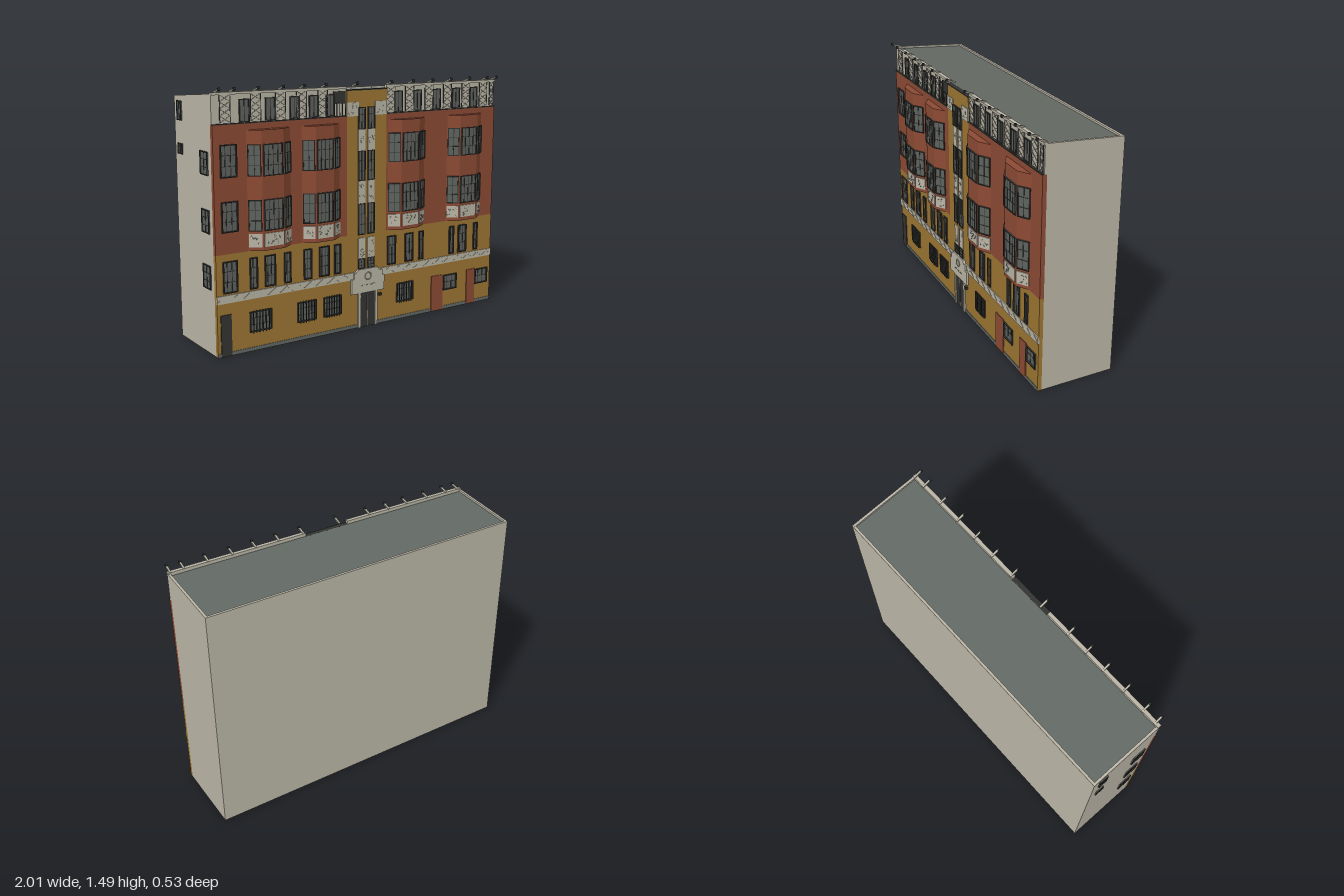
import * as THREE from 'three';

const mat = (name, color, side = THREE.FrontSide) => {
  const m = new THREE.MeshStandardMaterial({ color, side });
  m.name = name;
  return m;
};
const M = {
  ochre: mat('ochre plaster', 0x9c7532),
  red: mat('red brick', 0x8c4a34),
  cream: mat('cream stone', 0xb9b4a5),
  glass: mat('window glass', 0x5d625d),
  roof: mat('roof felt', 0x626863),
  dark: mat('dark metal', 0x333331),
  grey: mat('grey relief', 0x77746a),
};
const FRONT = 0.21, INNER = 0.185, ATTIC = 0.2;

function box(parent, name, m, w, h, d, x, y, z) {
  const b = new THREE.Mesh(new THREE.BoxGeometry(w, h, d), m);
  b.name = name;
  b.position.set(x, y, z);
  parent.add(b);
  return b;
}
// box given by its limits
const span = (p, name, m, x0, x1, y0, y1, z0, z1) =>
  box(p, name, m, x1 - x0, y1 - y0, z1 - z0, (x0 + x1) / 2, (y0 + y1) / 2, (z0 + z1) / 2);

// thin straight bar between two points in the xy plane
function stroke(parent, name, m, x0, y0, x1, y1, z, t = 0.004, d = 0.004) {
  const b = box(parent, name, m, Math.hypot(x1 - x0, y1 - y0), t, d, (x0 + x1) / 2, (y0 + y1) / 2, z);
  b.rotation.z = Math.atan2(y1 - y0, x1 - x0);
}

function place(parent, name, x, y, z, ry = 0) {
  const g = new THREE.Group();
  g.name = name;
  g.position.set(x, y, z);
  g.rotation.y = ry;
  parent.add(g);
  return g;
}

// window in local space, wall surface at z = 0
function windowUnit(parent, x, y, z, w, h, cols, rows, ry = 0, recess = 0, bars = 0) {
  const g = place(parent, 'window', x, y, z, ry);
  box(g, 'glass', M.glass, w, h, 0.004, 0, 0, 0.002 - recess);
  const t = 0.006;
  for (const s of [-1, 1]) {
    box(g, 'frameSide', M.dark, t, h, 0.01, s * (w - t) / 2, 0, 0.003);
    box(g, 'frameRail', M.dark, w, t, 0.01, 0, s * (h - t) / 2, 0.003);
  }
  for (let i = 1; i < cols; i++) box(g, 'mullion', M.dark, 0.004, h, 0.004, -w / 2 + w * i / cols, 0, 0.004 - recess);
  for (let i = 1; i < rows; i++) box(g, 'glazingBar', M.dark, w, 0.003, 0.004, 0, -h / 2 + h * i / rows, 0.004 - recess);
  for (let i = 1; i <= bars; i++) box(g, 'securityBar', M.dark, 0.005, h + 0.01, 0.004, -w / 2 + w * i / (bars + 1), 0, 0.008);
}

// wall slab with rectangular openings [x0, x1, y0, y1]
function wall(parent, name, m, x0, x1, y0, y1, holes) {
  const rect = (C, a, b, c, d) => {
    const s = new C();
    s.moveTo(a, c); s.lineTo(b, c); s.lineTo(b, d); s.lineTo(a, d); s.closePath();
    return s;
  };
  const s = rect(THREE.Shape, x0, x1, y0, y1);
  for (const h of holes) s.holes.push(rect(THREE.Path, ...h));
  const mesh = new THREE.Mesh(new THREE.ExtrudeGeometry(s, { depth: FRONT - INNER, bevelEnabled: false }), m);
  mesh.name = name;
  mesh.position.z = INNER;
  parent.add(mesh);
}

let seed = 7;
const rnd = () => (seed = (seed * 16807) % 2147483647) / 2147483647;

// cream panel with a scrolling relief
function reliefPanel(parent, x, y, z, w, h, m = M.grey, ry = 0) {
  const g = place(parent, 'reliefPanel', x, y, z, ry);
  box(g, 'panel', M.cream, w, h, 0.006, 0, 0, 0.002);
  const n = Math.max(4, Math.round(w * h * 1100));
  for (let i = 0; i < n; i++) {
    const px = (rnd() - 0.5) * w * 0.7, py = (rnd() - 0.5) * h * 0.7, a = rnd() * Math.PI, r = 0.008;
    stroke(g, 'relief', m, px - r * Math.cos(a), py - r * Math.sin(a), px + r * Math.cos(a), py + r * Math.sin(a), 0.005, 0.003);
  }
}

// attic pier with crossed lattice
function lattice(parent, x, w) {
  const y0 = 1.295, y1 = 1.445, z = ATTIC + 0.004;
  span(parent, 'latticePanel', M.cream, x - w / 2, x + w / 2, y0, y1, ATTIC - 0.002, ATTIC + 0.004);
  for (const s of [-1, 1]) stroke(parent, 'latticeEdge', M.dark, x + s * w / 2, y0, x + s * w / 2, y1, z, 0.004);
  for (let i = 0; i < 4; i++) {
    const a = y0 + (y1 - y0) * i / 4, b = y0 + (y1 - y0) * (i + 1) / 4;
    stroke(parent, 'latticeBrace', M.grey, x - w / 2, a, x + w / 2, b, z);
    stroke(parent, 'latticeBrace', M.grey, x - w / 2, b, x + w / 2, a, z);
  }
}

// three-sided bay, e = the four corner x positions
function bay(parent, e) {
  const g = place(parent, 'bay', 0, 0, 0), zf = 0.255;
  const s = new THREE.Shape();
  s.moveTo(e[0], -FRONT); s.lineTo(e[1], -zf); s.lineTo(e[2], -zf); s.lineTo(e[3], -FRONT); s.closePath();
  const geo = new THREE.ExtrudeGeometry(s, { depth: 0.67, bevelEnabled: false });
  geo.rotateX(-Math.PI / 2);
  const body = new THREE.Mesh(geo, M.red);
  body.name = 'bayBody';
  body.position.y = 0.58;
  g.add(body);
  const zs = [FRONT, zf, zf, FRONT];
  for (let i = 0; i < 3; i++) {
    const dx = e[i + 1] - e[i], dz = zs[i + 1] - zs[i], len = Math.hypot(dx, dz), ry = -Math.atan2(dz, dx);
    const cx = (e[i] + e[i + 1]) / 2, cz = (zs[i] + zs[i + 1]) / 2, w = len * 0.89;
    for (const y of [1.085, 0.78]) windowUnit(g, cx, y, cz, w, 0.175, i === 1 ? 4 : 2, 3, ry);
    reliefPanel(g, cx, 0.64, cz, w, 0.075, M.grey, ry);
  }
}

export function createModel() {
  const root = new THREE.Group();
  root.name = 'building';

  // hollow shell: side walls with sloping tops, back wall, roof
  const shell = place(root, 'shell', 0, 0, 0);
  const side = new THREE.Shape();
  side.moveTo(-INNER, 0); side.lineTo(0.265, 0); side.lineTo(0.265, 1.415); side.lineTo(-INNER, 1.45); side.closePath();
  const sideGeo = new THREE.ExtrudeGeometry(side, { depth: 0.015, bevelEnabled: false });
  sideGeo.rotateY(Math.PI / 2);
  for (const x of [-1, 0.985]) {
    const m = new THREE.Mesh(sideGeo, M.cream);
    m.name = 'sideWall';
    m.position.x = x;
    shell.add(m);
  }
  span(shell, 'backWall', M.cream, -0.985, 0.985, 0, 1.415, -0.265, -0.25);
  box(shell, 'roof', M.roof, 1.97, 0.006, 0.437, 0, 1.418, -0.032).rotation.x = -0.078;

  // lower storeys: [x0, x1, y0, y1, columns, rows, security bars]
  const f = place(root, 'facade', 0, 0, 0);
  const low = [[-0.8, -0.66, 0.11, 0.23, 1, 3, 6], [-0.49, -0.36, 0.11, 0.23, 1, 3, 6], [-0.31, -0.185, 0.11, 0.23, 1, 3, 6],
    [0.225, 0.355, 0.11, 0.23, 1, 3, 6], [0.6, 0.71, 0.125, 0.225, 3, 2, 0], [0.868, 0.975, 0.125, 0.225, 3, 2, 0]];
  const mid = [[-0.96, -0.87], [-0.795, -0.745], [-0.7, -0.63], [-0.575, -0.53], [-0.445, -0.39], [-0.34, -0.27], [-0.235, -0.19],
    [0.15, 0.215], [0.285, 0.35], [0.395, 0.43], [0.64, 0.68], [0.715, 0.785], [0.845, 0.88]]
    .map(([a, b]) => [a, b, 0.36, 0.54, b - a > 0.06 ? 3 : 2, 3, 0]);
  const upper = [[-0.96, -0.86, 1.0, 1.18, 3, 3, 0], [-0.96, -0.86, 0.7, 0.87, 3, 3, 0]];
  const rects = (list) => list.map((h) => h.slice(0, 4));
  wall(f, 'lowerWall', M.ochre, -1, 1, 0, 0.58, rects([...low, ...mid]));
  wall(f, 'upperWallRight', M.red, -1, -0.145, 0.58, 1.287, rects(upper));
  wall(f, 'upperWallLeft', M.red, 0.14, 1, 0.58, 1.287, []);
  wall(f, 'stairTower', M.ochre, -0.145, 0.14, 0.58, 1.435, []);
  for (const [a, b, c, d, cols, rows, bars] of [...low, ...mid, ...upper]) {
    windowUnit(f, (a + b) / 2, (c + d) / 2, FRONT, b - a, d - c, cols, rows, 0, 0.01, bars);
    span(f, 'windowBacking', M.dark, a, b, c, d, INNER - 0.003, INNER + 0.002);
  }

  // bays
  for (const e of [[-0.8, -0.73, -0.595, -0.525], [-0.45, -0.385, -0.265, -0.195], [0.15, 0.22, 0.355, 0.43], [0.61, 0.68, 0.82, 0.89]]) bay(root, e);

  // plinth and string course
  span(f, 'plinth', M.roof, -1, 1, 0, 0.022, FRONT - 0.005, FRONT + 0.003);
  span(f, 'stringCourse', M.cream, -1, 1, 0.305, 0.35, FRONT - 0.005, FRONT + 0.006);
  for (let i = 0; i < 50; i++) {
    const x = -1 + i * 0.04, up = i % 2;
    stroke(f, 'courseRelief', M.cream, x, up ? 0.342 : 0.313, x + 0.04, up ? 0.313 : 0.342, FRONT + 0.006, 0.005);
  }

  // doors, seen from inside as well
  for (const [a, b, h, m] of [[-0.98, -0.915, 0.24, M.dark], [0.5, 0.595, 0.232, M.red], [0.795, 0.865, 0.232, M.red], [-0.052, 0.056, 0.215, M.dark]]) {
    span(f, 'door', m, a, b, 0.002, h, FRONT - 0.002, FRONT + 0.005);
    span(f, 'doorBack', M.dark, a, b, 0.002, h, INNER - 0.003, INNER + 0.002);
  }

  // portal
  const portal = place(root, 'portal', 0, 0, 0);
  const s = new THREE.Shape();
  [[-0.12, 0.217], [0.12, 0.217], [0.12, 0.31], [0.105, 0.31], [0.105, 0.345], [0.085, 0.345], [0.07, 0.365], [-0.07, 0.365],
    [-0.09, 0.345], [-0.1, 0.345], [-0.1, 0.31], [-0.12, 0.31]].forEach(([x, y], i) => (i ? s.lineTo(x, y) : s.moveTo(x, y)));
  const head = new THREE.Mesh(new THREE.ExtrudeGeometry(s, { depth: 0.018, bevelEnabled: false }), M.cream);
  head.name = 'portalHead';
  head.position.z = FRONT - 0.002;
  portal.add(head);
  for (const x of [-0.06, 0.064]) box(portal, 'doorJamb', M.cream, 0.016, 0.217, 0.016, x, 0.1085, FRONT + 0.004);
  box(portal, 'doorMullion', M.grey, 0.004, 0.2, 0.004, 0.002, 0.1, FRONT + 0.005);
  for (let i = 0; i < 6; i++) stroke(portal, 'portalRelief', M.grey, -0.05 + i * 0.018, 0.262 + (i % 2) * 0.006, -0.04 + i * 0.018, 0.266, FRONT + 0.017, 0.004);
  const ring = new THREE.Mesh(new THREE.TorusGeometry(0.022, 0.004, 6, 16), M.cream);
  ring.name = 'portalRing';
  ring.position.set(0, 0.318, FRONT + 0.016);
  portal.add(ring);
  box(portal, 'lamp', M.dark, 0.022, 0.016, 0.016, 0.095, 0.187, FRONT + 0.007);

  // stair tower glazing with alternating relief panels
  for (const [a, b] of [[-0.066, -0.016], [0.002, 0.052]]) {
    const x = (a + b) / 2, w = b - a;
    for (const [c, d] of [[1.205, 1.335], [0.9, 1.08], [0.575, 0.765], [0.365, 0.43]]) windowUnit(f, x, (c + d) / 2, FRONT, w, d - c, 2, 3);
    for (const [c, d] of [[1.08, 1.205], [0.765, 0.9], [0.43, 0.555]]) reliefPanel(f, x, (c + d) / 2, FRONT, w, d - c, M.cream);
  }
  for (const x of [-0.106, 0.097]) reliefPanel(f, x, 1.325, FRONT, 0.085, 0.08, M.cream);
  span(f, 'towerCoping', M.dark, -0.145, 0.14, 1.432, 1.438, INNER - 0.002, FRONT + 0.003);

  // attic storey with lattice piers, windows and roof brackets
  const attic = place(root, 'attic', 0, 0, 0);
  for (const [a, b] of [[-1, -0.145], [0.14, 1]]) {
    span(attic, 'atticWall', M.cream, a, b, 1.287, 1.45, INNER, ATTIC);
    span(attic, 'atticCornice', M.cream, a, b, 1.444, 1.458, INNER, ATTIC + 0.008);
    span(attic, 'atticSill', M.dark, a, b, 1.285, 1.291, ATTIC - 0.005, FRONT + 0.003);
  }
  for (const x of [-0.92, -0.735, -0.58, -0.445, -0.305, 0.175, 0.315, 0.465, 0.61, 0.76, 0.905]) lattice(attic, x, 0.062);
  lattice(attic, 0.975, 0.03);
  for (const x of [-0.805, -0.645, -0.49, -0.365, -0.255, 0.232, 0.375, 0.525, 0.68, 0.825])
    windowUnit(attic, x, 1.355, ATTIC, 0.062, 0.125, 2, 1);
  for (const x of [-0.97, -0.88, -0.735, -0.58, -0.445, -0.305, -0.09, 0.155, 0.315, 0.465, 0.61, 0.76, 0.905, 0.985]) {
    box(attic, 'roofBracket', M.cream, 0.011, 0.008, 0.06, x, 1.466, 0.212).rotation.x = -0.3;
    box(attic, 'bracketEnd', M.dark, 0.013, 0.016, 0.012, x, 1.476, 0.238).rotation.x = -0.3;
  }

  // small roof terrace with railing
  span(attic, 'terraceOpening', M.dark, -0.232, -0.15, 1.365, 1.432, ATTIC - 0.002, ATTIC + 0.006);
  for (let i = 0; i < 5; i++) box(attic, 'railingPost', M.dark, 0.004, 0.075, 0.004, -0.23 + i * 0.019, 1.328, ATTIC + 0.007);
  box(attic, 'railingTop', M.dark, 0.082, 0.005, 0.005, -0.191, 1.365, ATTIC + 0.007);

  // windows on the right end wall: [z, y0, y1, width]
  for (const [z, c, d, w] of [[-0.195, 1.28, 1.39, 0.057], [-0.195, 1.09, 1.15, 0.057], [0.105, 1.01, 1.14, 0.09], [0.105, 0.69, 0.82, 0.09], [0.105, 0.375, 0.51, 0.09]])
    windowUnit(root, -1, (c + d) / 2, z, w, d - c, 2, 3, -Math.PI / 2);

  return root;
}
